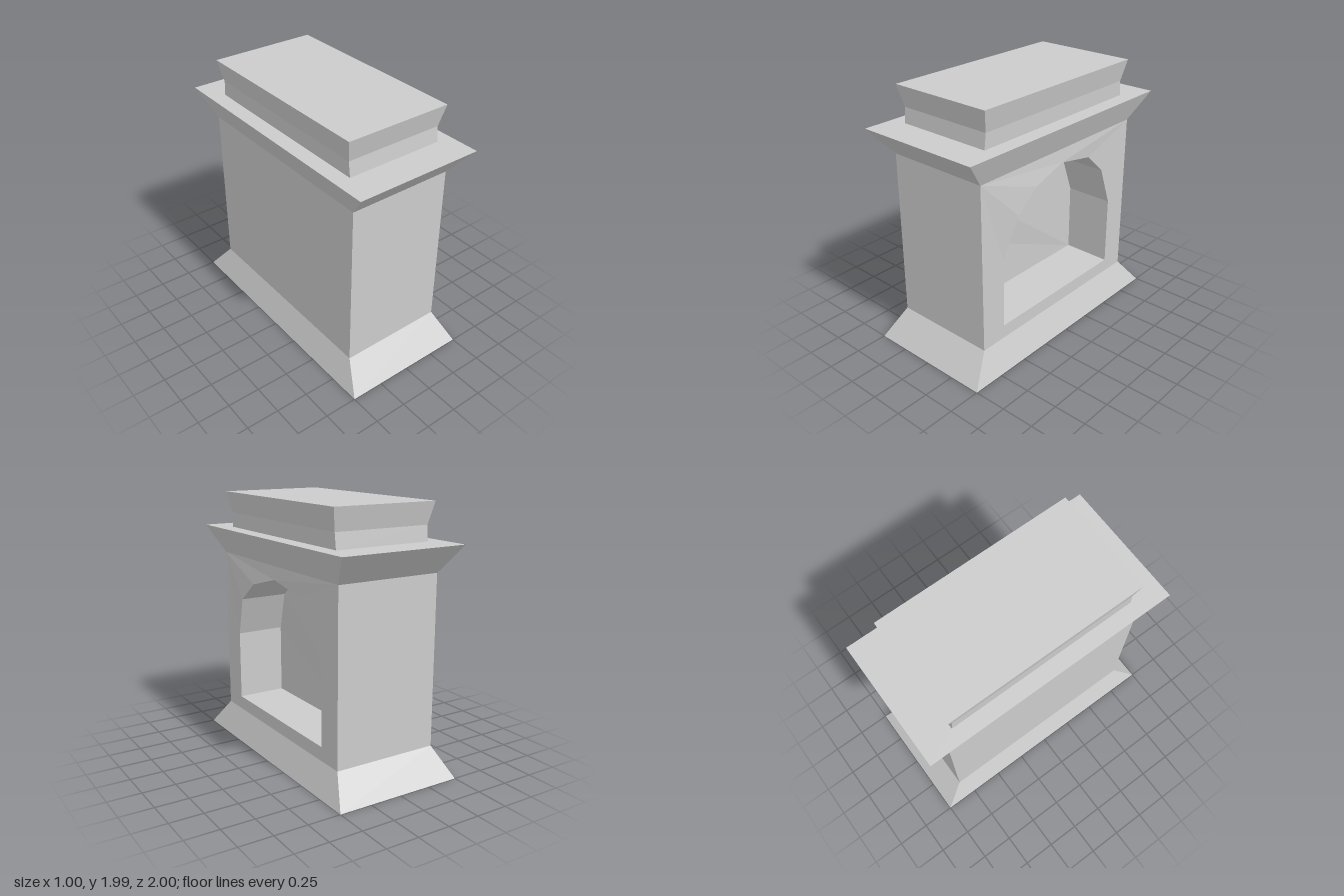
import * as THREE from 'three';

const material = new THREE.MeshStandardMaterial({ color: 0xcccccc, flatShading: true });

// Flat-shaded mesh from a list of four-cornered faces (counter-clockwise from outside)
function quadMesh(name, quads) {
  const pos = [];
  for (const [a, b, c, d] of quads) pos.push(...a, ...b, ...c, ...a, ...c, ...d);
  const g = new THREE.BufferGeometry();
  g.setAttribute('position', new THREE.Float32BufferAttribute(pos, 3));
  return finish(name, g);
}

function finish(name, geometry) {
  geometry.computeVertexNormals();
  const mesh = new THREE.Mesh(geometry, material);
  mesh.name = name;
  return mesh;
}

// Rectangular ring of half-sizes hx, hz at height y
const ring = ([y, hx, hz]) => [[hx, y, hz], [hx, y, -hz], [-hx, y, -hz], [-hx, y, hz]];

// Stack of rings with closed ends; skipSide leaves out the side facing +x
function frustumStack(name, levels, { bottom = false, top = false, skipSide = false } = {}) {
  const rings = levels.map(ring);
  const quads = [];
  for (let i = 0; i < rings.length - 1; i++) {
    for (let k = skipSide ? 1 : 0; k < 4; k++) {
      const n = (k + 1) % 4;
      quads.push([rings[i][k], rings[i][n], rings[i + 1][n], rings[i + 1][k]]);
    }
  }
  if (bottom) quads.push([...rings[0]].reverse());
  if (top) quads.push(rings[rings.length - 1]);
  return quadMesh(name, quads);
}

const HX = 0.41, HZ = 0.825, Y0 = 0.215, Y1 = 1.5, DEPTH = 0.38;

// Opening outline as [x, y, z]; a few arch stones bulge out of the wall
const arch = [
  [HX, 0.32, 0.615], [HX, 0.86, 0.615], [0.44, 1.17, 0.49], [0.437, 1.32, 0.3],
  [0.42, 1.4, 0], [HX, 1.335, -0.33], [HX, 1.17, -0.51], [HX, 0.86, -0.625], [HX, 0.32, -0.625],
];
const outline = arch.map(([, y, z]) => new THREE.Vector2(-z, y));

// Stand a flat shape up facing +x, following the bulge of the arch points
function wallGeometry(shape, inset) {
  const g = new THREE.ShapeGeometry(shape).rotateY(Math.PI / 2).toNonIndexed();
  const p = g.attributes.position;
  for (let i = 0; i < p.count; i++) {
    const hit = arch.find(([, y, z]) => Math.hypot(y - p.getY(i), z - p.getZ(i)) < 1e-4);
    p.setX(i, (hit ? hit[0] : HX) - inset);
  }
  return g;
}

export function createModel() {
  const model = new THREE.Group();
  model.name = 'fireplace';

  // Plinth, shaft, flared mantel and upper block
  model.add(
    frustumStack('plinth', [[0, 0.5, 1], [Y0, HX, HZ]], { bottom: true }),
    frustumStack('shaft', [[Y0, HX, HZ], [Y1, HX, HZ]], { skipSide: true }),
    frustumStack('mantel', [[Y1, HX, HZ], [1.71, 0.5, 1]], { top: true }),
    frustumStack('upperBlock', [[1.71, 0.38, 0.75], [1.825, 0.382, 0.738], [1.99, 0.415, 0.777]], { top: true }),
  );

  // Wall around the arched opening
  const wall = new THREE.Shape([[-HZ, Y0], [HZ, Y0], [HZ, Y1], [-HZ, Y1]].map(([u, v]) => new THREE.Vector2(u, v)));
  wall.holes.push(new THREE.Path(outline));
  model.add(finish('hearthWall', wallGeometry(wall, 0)));

  // Recess: lining and back
  const inner = arch.map(([x, y, z]) => [x - DEPTH, y, z]);
  model.add(quadMesh('recessLining', arch.map((p, i) => {
    const n = (i + 1) % arch.length;
    return [p, inner[i], inner[n], arch[n]];
  })));
  model.add(finish('recessBack', wallGeometry(new THREE.Shape(outline), DEPTH)));

  return model;
}
